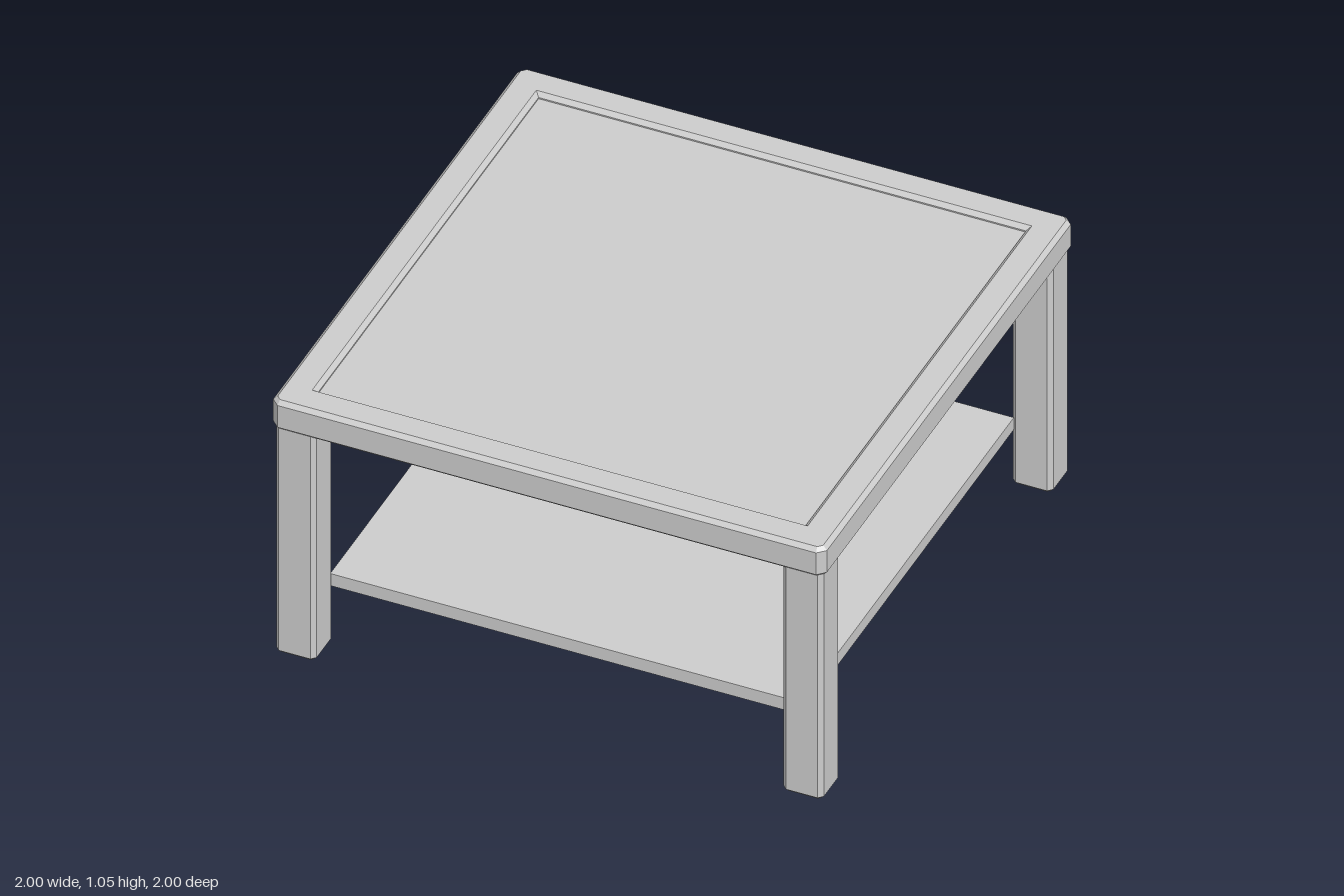
import * as THREE from 'three';

// Square of half-size h with corners cut by c, counterclockwise from above
function cutSquare(h, c, y) {
  const k = h - c;
  return [[h, k], [h, -k], [k, -h], [-k, -h], [-h, -k], [-h, k], [-k, h], [k, h]]
    .map(([x, z]) => [x, y, z]);
}

// Flat-faced skin through a list of [halfSize, cornerCut, y] rings
function loft(rings) {
  const loops = rings.map((r) => cutSquare(...r));
  const pos = [];
  for (let i = 0; i < loops.length - 1; i++) {
    for (let j = 0; j < 8; j++) {
      const n = (j + 1) % 8;
      const a = loops[i][j], b = loops[i][n], c = loops[i + 1][n], d = loops[i + 1][j];
      pos.push(...a, ...b, ...c, ...a, ...c, ...d);
    }
  }
  const geo = new THREE.BufferGeometry();
  geo.setAttribute('position', new THREE.Float32BufferAttribute(pos, 3));
  geo.computeVertexNormals();
  return geo;
}

export function createModel() {
  const group = new THREE.Group();
  const grey = new THREE.MeshStandardMaterial({ color: 0xcccccc });
  grey.name = 'light grey';

  const add = (name, geo, x = 0, y = 0, z = 0) => {
    const mesh = new THREE.Mesh(geo, grey);
    mesh.name = name;
    mesh.position.set(x, y, z);
    group.add(mesh);
  };

  // Chamfered rim around the table top, a closed cross-section
  add('topFrame', loft([
    [0.985, 0.015, 0.93],
    [1.0, 0.027, 0.945],
    [1.0, 0.027, 1.035],
    [0.985, 0.015, 1.05],
    [0.895, 0, 1.05],
    [0.88, 0, 1.035],
    [0.88, 0, 0.945],
    [0.895, 0, 0.93],
    [0.985, 0.015, 0.93],
  ]));

  // Slightly sunken panel inside the rim
  add('topPanel', new THREE.BoxGeometry(1.78, 0.03, 1.78), 0, 1.015, 0);

  // Four square legs with chamfered edges and feet
  const legGeo = loft([
    [0, 0, 0],
    [0.058, 0.007, 0],
    [0.073, 0.016, 0.015],
    [0.073, 0.016, 1.0],
    [0, 0, 1.0],
  ]);
  for (const [side, sx] of [['left', 1], ['right', -1]]) {
    for (const [end, sz] of [['Front', 1], ['Back', -1]]) {
      add(`${side}${end}Leg`, legGeo, sx * 0.916, 0, sz * 0.916);
    }
  }

  // Thin lower shelf held between the inner corners of the legs
  add('lowerShelf', new THREE.BoxGeometry(1.7, 0.05, 1.7), 0, 0.25, 0);

  return group;
}
